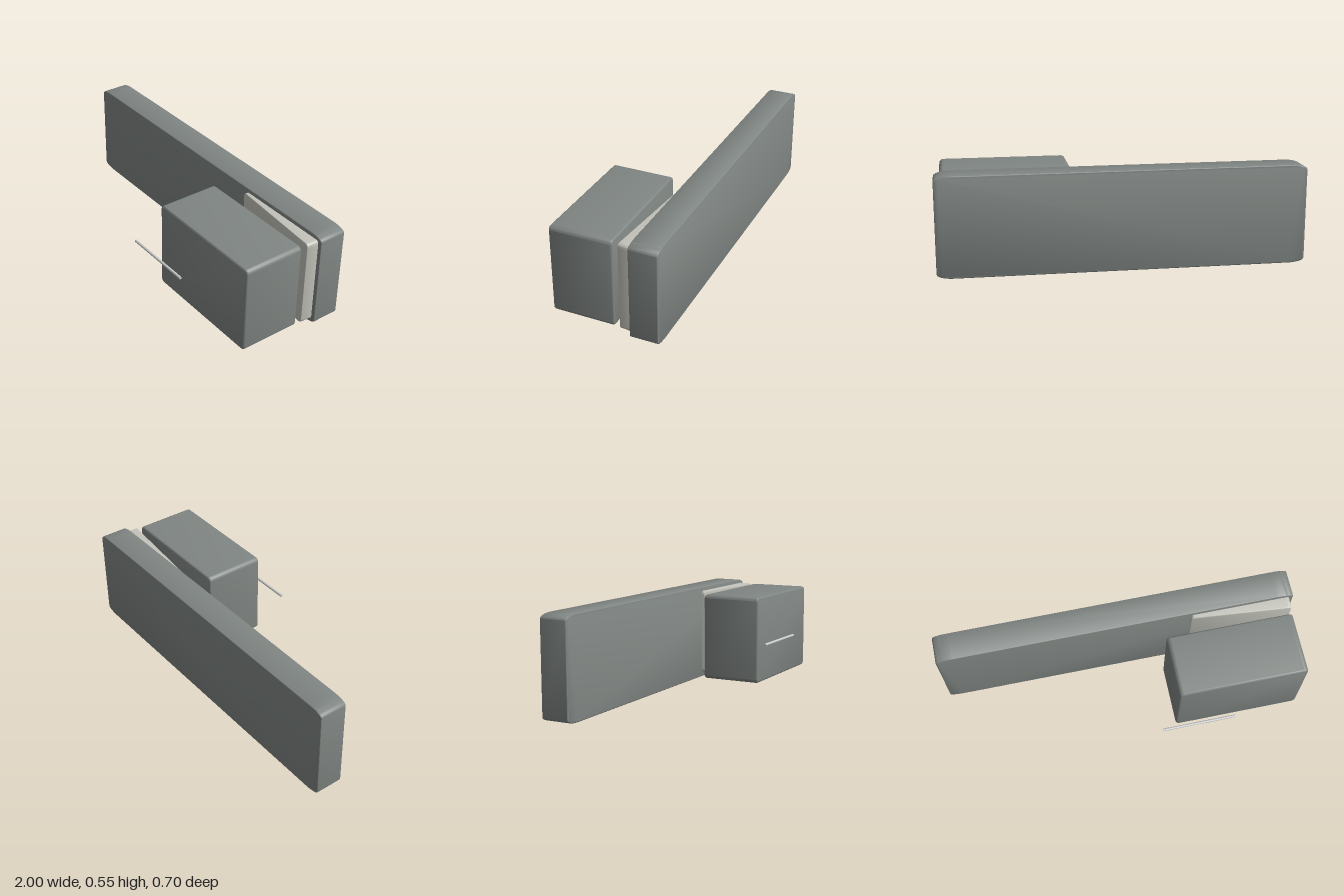
import * as THREE from 'three';
import { toCreasedNormals } from 'three/addons/utils/BufferGeometryUtils.js';

// Centred block: elliptical corners (rx, ry) seen from the front, small bevel on the front and back rims
function block(w, h, d, rx, ry, bevel) {
  const x = w / 2 - bevel, y = h / 2 - bevel;
  const shape = new THREE.Shape();
  shape.moveTo(x, -y + ry);
  shape.lineTo(x, y - ry);
  shape.absellipse(x - rx, y - ry, rx, ry, 0, Math.PI / 2);
  shape.absellipse(-x + rx, y - ry, rx, ry, Math.PI / 2, Math.PI);
  shape.absellipse(-x + rx, -y + ry, rx, ry, Math.PI, Math.PI * 1.5);
  shape.absellipse(x - rx, -y + ry, rx, ry, Math.PI * 1.5, Math.PI * 2);
  const geometry = new THREE.ExtrudeGeometry(shape, {
    depth: d - 2 * bevel, bevelThickness: bevel, bevelSize: bevel, bevelSegments: 4, curveSegments: 6,
  });
  geometry.translate(0, 0, -d / 2 + bevel);
  return toCreasedNormals(geometry, 0.6);
}

export function createModel() {
  const group = new THREE.Group();
  const dark = new THREE.MeshStandardMaterial({ color: 0x808683 });
  const light = new THREE.MeshStandardMaterial({ color: 0xc4c4bc });
  const grey = new THREE.MeshStandardMaterial({ color: 0xcccccc });

  const add = (name, geometry, material, x, y, z) => {
    const mesh = new THREE.Mesh(geometry, material);
    mesh.name = name;
    mesh.position.set(x, y, z);
    group.add(mesh);
    return mesh;
  };

  // Long upright slab at the back
  add('backSlab', block(2, 0.55, 0.157, 0.085, 0.022, 0.006), dark, 0, 0.276, -0.272);

  // Box floating in front of the slab
  add('frontBox', block(0.715, 0.5, 0.348, 0.012, 0.012, 0.013), dark, 0.613, 0.277, 0.079);

  // Panel swung slightly open, its rear sunk in the slab
  const panel = add('tiltedPanel', block(0.558, 0.5, 0.09, 0.014, 0.017, 0.004), light, 0.699, 0.277, -0.196);
  panel.rotation.y = -THREE.MathUtils.degToRad(5);

  // Thin horizontal rod in front
  const rod = new THREE.CylinderGeometry(0.0075, 0.0075, 0.407, 16).rotateZ(Math.PI / 2);
  add('rod', rod, grey, 0.358, 0.277, 0.346);

  return group;
}
